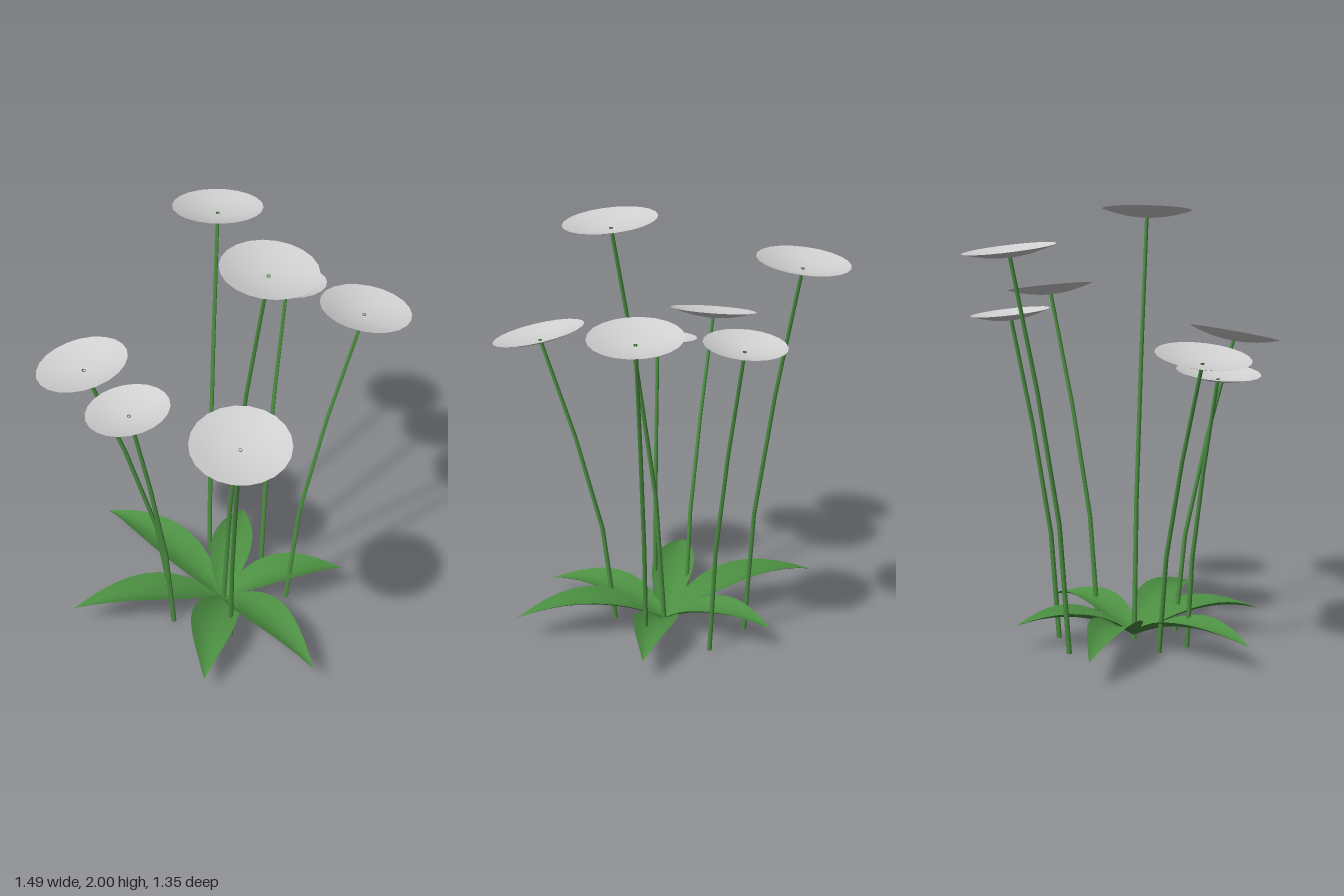
import * as THREE from 'three';

const green = new THREE.MeshStandardMaterial({ color: 0x4c8f42, side: THREE.DoubleSide });
green.name = 'leaf green';
const pale = new THREE.MeshStandardMaterial({ color: 0xd0d0d0, side: THREE.DoubleSide });
pale.name = 'pale grey petal';

// Surface swept through rows of points; every row has the same length
function gridGeometry(rows) {
  const n = rows[0].length, positions = [], index = [];
  for (const row of rows) for (const p of row) positions.push(p.x, p.y, p.z);
  for (let i = 0; i < rows.length - 1; i++) {
    for (let j = 0; j < n - 1; j++) {
      const a = i * n + j, b = a + 1, c = a + n, d = c + 1;
      index.push(a, b, c, b, d, c);
    }
  }
  const g = new THREE.BufferGeometry();
  g.setAttribute('position', new THREE.Float32BufferAttribute(positions, 3));
  g.setIndex(index);
  g.computeVertexNormals();
  return g;
}

// Arching, pointed leaf with a shallow channel along its length
function makeLeaf([x, y, z], arch, halfWidth) {
  const start = new THREE.Vector3(0.05, 0.02, 0.06);
  const end = new THREE.Vector3(x, y, z);
  const control = start.clone().lerp(end, 0.5).setY(arch);
  const spine = new THREE.QuadraticBezierCurve3(start, control, end);
  const side = new THREE.Vector3(z - start.z, 0, start.x - x).normalize();
  const rows = [];
  for (let i = 0; i <= 10; i++) {
    const t = i / 10;
    const w = halfWidth * Math.max(Math.sin(Math.PI * Math.pow(t, 0.8)), i === 0 ? 0.1 : 0.001);
    const row = [];
    for (let j = -3; j <= 3; j++) {
      const s = -j / 3;
      const p = spine.getPoint(t).addScaledVector(side, s * w);
      p.y += 0.35 * w * s * s;
      row.push(p);
    }
    rows.push(row);
  }
  const leaf = new THREE.Mesh(gridGeometry(rows), green);
  leaf.name = 'leaf';
  return leaf;
}

// Open, tapering six-sided stem that bends outwards in three straight pieces
function makeStem(base, tip) {
  const bend = [0, 0.17, 0.54, 1];
  const rows = bend.map((f, i) => {
    const y = tip.y * i / 3, r = 0.012 - 0.001 * i, row = [];
    for (let j = 0; j <= 6; j++) {
      const a = -j / 6 * Math.PI * 2;
      row.push(new THREE.Vector3(
        THREE.MathUtils.lerp(base.x, tip.x, f) + r * Math.cos(a), y,
        THREE.MathUtils.lerp(base.z, tip.z, f) + r * Math.sin(a)));
    }
    return row;
  });
  const stem = new THREE.Mesh(gridGeometry(rows), green);
  stem.name = 'stem';
  return stem;
}

// Shallow saucer-shaped flower head
function makeHead(radius) {
  const profile = [[0.001, 0], [0.25, 0.002], [0.5, 0.009], [0.75, 0.021], [1, 0.037]]
    .map(([r, y]) => new THREE.Vector2(r * radius, y));
  const head = new THREE.Mesh(new THREE.LatheGeometry(profile, 22), pale);
  head.name = 'flowerHead';
  return head;
}

export function createModel() {
  const model = new THREE.Group();
  model.name = 'plant';

  // Rosette of leaves: tip, arch height, half width
  const leaves = [
    [[-0.745, 0.115, 0.05], 0.245, 0.105],
    [[0.745, 0.11, 0.21], 0.24, 0.1],
    [[0.41, 0.09, 0.58], 0.19, 0.11],
    [[-0.35, 0.11, 0.665], 0.2, 0.1],
    [[-0.25, 0.11, -0.42], 0.2, 0.1],
    [[0.4, 0.1, -0.42], 0.2, 0.1],
  ];
  for (const leaf of leaves) model.add(makeLeaf(...leaf));

  // Flowers: stem base x z, stem tip x y z, head radius, rim slope along x and z
  const flowers = [
    [-0.25, -0.17, -0.39, 1.785, -0.39, 0.207, 0.07, 0.1],
    [-0.005, -0.285, -0.055, 1.485, -0.49, 0.182, 0.04, 0.1],
    [0.26, -0.165, 0.43, 1.57, -0.44, 0.204, -0.08, 0.12],
    [0.055, 0.06, 0.305, 1.942, 0.06, 0.209, -0.11, 0],
    [0.24, 0.215, 0.495, 1.36, 0.44, 0.215, -0.16, -0.15],
    [-0.14, 0.22, -0.41, 1.345, 0.46, 0.208, 0.15, -0.14],
    [-0.025, 0.325, -0.12, 1.247, 0.475, 0.188, 0.09, -0.1],
  ];
  const up = new THREE.Vector3(0, 1, 0);
  for (const [bx, bz, x, y, z, radius, slopeX, slopeZ] of flowers) {
    const flower = new THREE.Group();
    flower.name = 'flower';
    const tip = new THREE.Vector3(x, y + 0.005, z);
    const head = makeHead(radius);
    head.position.set(x, y, z);
    head.quaternion.setFromUnitVectors(up, new THREE.Vector3(-slopeX, 1, -slopeZ).normalize());
    flower.add(makeStem(new THREE.Vector3(bx, 0, bz), tip), head);
    model.add(flower);
  }
  return model;
}
